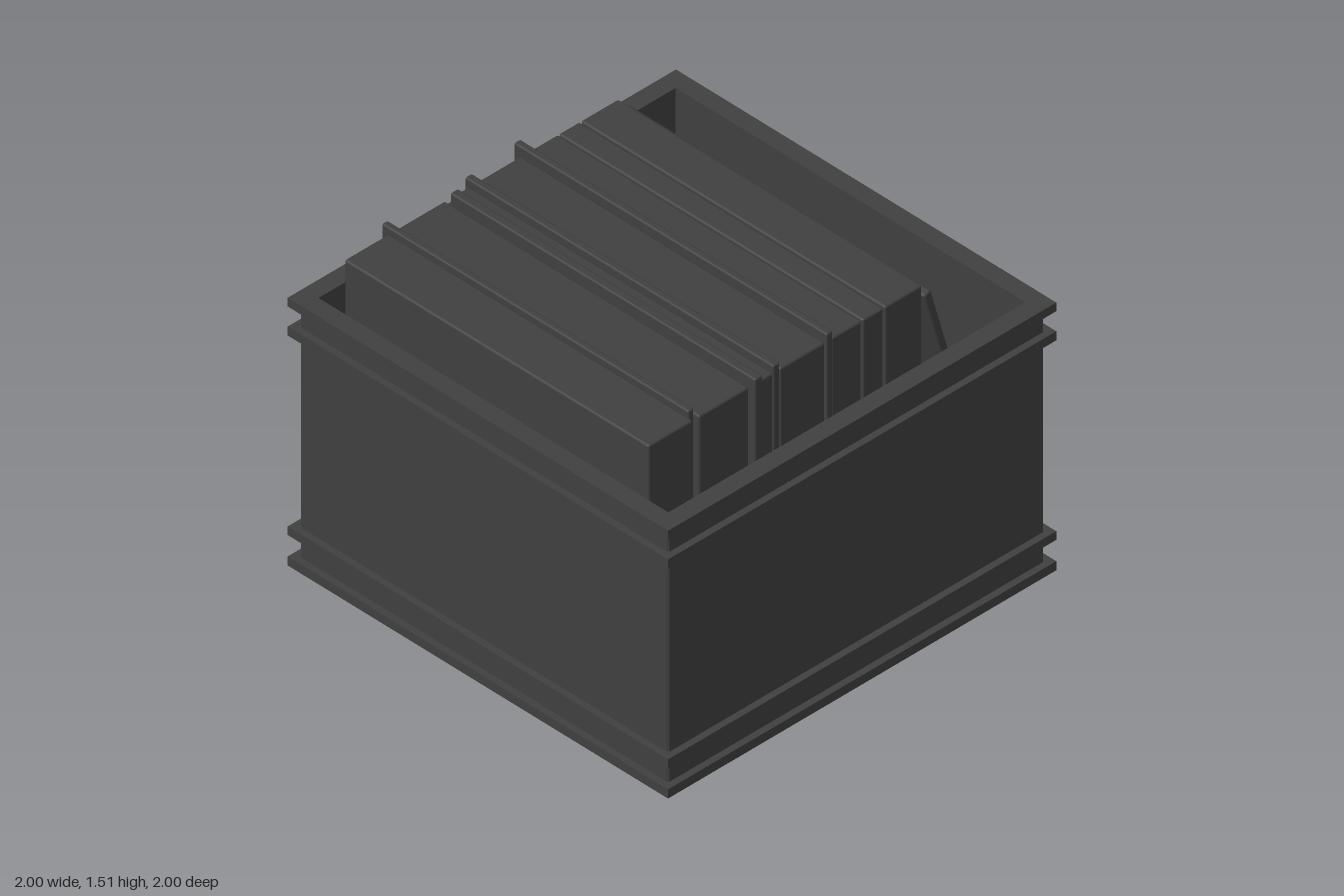
import * as THREE from 'three';
import { RoundedBoxGeometry } from 'three/addons/geometries/RoundedBoxGeometry.js';

const material = new THREE.MeshStandardMaterial({ color: 0x404040 });

function add(parent, name, geometry, x = 0, y = 0, z = 0) {
  const mesh = new THREE.Mesh(geometry, material);
  mesh.name = name;
  mesh.position.set(x, y, z);
  parent.add(mesh);
  return mesh;
}

// Square ring standing between two heights, with chamfered outer corners
function squareRing(outer, inner, y0, y1, cut = 0) {
  const a = outer, b = outer - cut;
  const corners = cut
    ? [[b, -a], [a, -b], [a, b], [b, a], [-b, a], [-a, b], [-a, -b], [-b, -a]]
    : [[a, -a], [a, a], [-a, a], [-a, -a]];
  const shape = new THREE.Shape(corners.map(([x, y]) => new THREE.Vector2(x, y)));
  const hole = [[-1, -1], [-1, 1], [1, 1], [1, -1]];
  shape.holes.push(new THREE.Path(hole.map(([x, y]) => new THREE.Vector2(x * inner, y * inner))));
  const geometry = new THREE.ExtrudeGeometry(shape, { depth: y1 - y0, bevelEnabled: false });
  return geometry.rotateX(-Math.PI / 2).translate(0, y0, 0);
}

// Softly bevelled slab given by its limits
function slab(parent, name, [x0, x1], [y0, y1], [z0, z1], radius) {
  const geometry = new RoundedBoxGeometry(x1 - x0, y1 - y0, z1 - z0, 2, radius);
  return add(parent, name, geometry, (x0 + x1) / 2, (y0 + y1) / 2, (z0 + z1) / 2);
}

export function createModel() {
  const model = new THREE.Group();
  model.name = 'crateOfSleeves';
  const inner = 0.92, floorTop = 0.17;

  // Crate: walls, four protruding ribs, raised floor and a beam beneath it
  const crate = new THREE.Group();
  crate.name = 'crate';
  model.add(crate);
  add(crate, 'walls', squareRing(0.97, inner, 0.02, 1.21, 0.008));
  for (const [y0, y1] of [[0, 0.042], [0.14, 0.18], [1.058, 1.1], [1.192, 1.232]]) {
    add(crate, 'rib', squareRing(1, inner, y0, y1));
  }
  add(crate, 'floor', new THREE.BoxGeometry(2 * inner, 0.04, 2 * inner), 0, floorTop - 0.02, 0);
  add(crate, 'floorBeam', new THREE.BoxGeometry(2 * inner, 0.13, 0.13), 0, 0.066, 0);

  // Packed stacks standing upright
  const stacks = [[-0.905, -0.675], [-0.645, -0.387], [-0.347, -0.262], [-0.227, 0.005],
    [0.038, 0.194], [0.199, 0.306], [0.313, 0.505]];
  for (const span of stacks) {
    slab(model, 'sleeveStack', span, [floorTop, 1.465], [-0.8, 0.8], 0.01);
  }

  // Thin dividers: x limits, top height, z limits
  const dividers = [
    [[-0.675, -0.645], 1.49, [-0.838, 0.775]],
    [[-0.387, -0.347], 1.515, [-0.772, 0.832]],
    [[-0.262, -0.227], 1.495, [-0.822, 0.8]],
    [[0.005, 0.038], 1.505, [-0.838, 0.808]],
  ];
  for (const [xs, top, zs] of dividers) {
    slab(model, 'divider', xs, [floorTop, top], zs, 0.008);
  }

  // One loose sleeve leaning from the crate wall against the stacks
  const top = new THREE.Vector2(0.532, 1.415), foot = new THREE.Vector2(0.883, 0.18);
  const lean = top.clone().sub(foot);
  const sleeve = add(model, 'leaningSleeve',
    new RoundedBoxGeometry(0.042, lean.length(), 1.6, 2, 0.012),
    (top.x + foot.x) / 2, (top.y + foot.y) / 2, 0);
  sleeve.rotation.z = Math.atan2(-lean.x, lean.y);

  return model;
}
